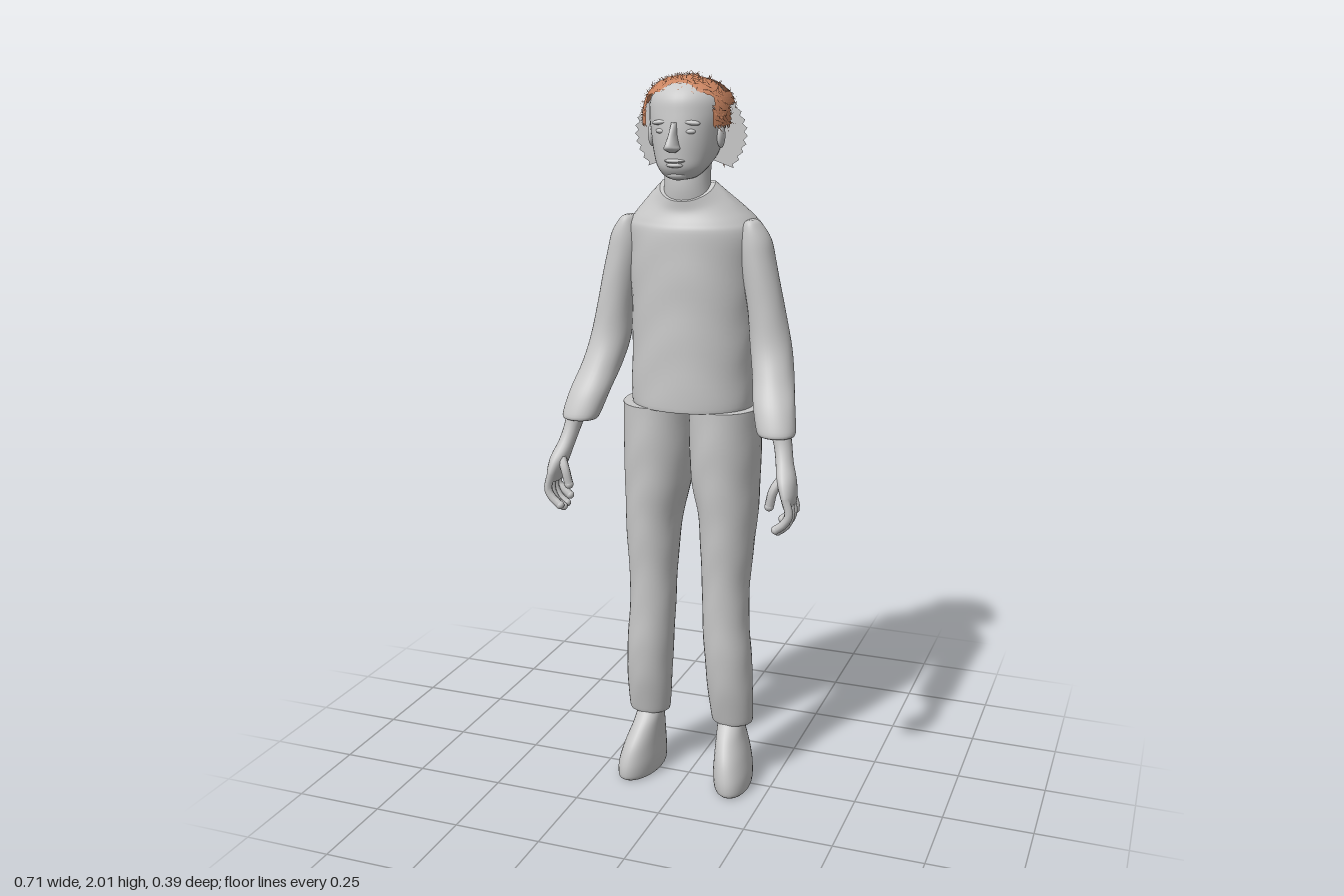
import * as THREE from 'three';

const grey = new THREE.MeshStandardMaterial({ color: 0xc8c8c8 });
grey.name = 'grey';
const greyThin = grey.clone();
greyThin.name = 'grey thin';
greyThin.side = THREE.DoubleSide;
const brown = new THREE.MeshStandardMaterial({ color: 0xc98460, side: THREE.DoubleSide });
brown.name = 'hair brown';

let seed = 7;
const rand = () => (seed = (seed * 16807) % 2147483647) / 2147483647;

function add(parent, name, geometry, material = grey) {
  const m = new THREE.Mesh(geometry, material);
  m.name = name;
  parent.add(m);
  return m;
}

// Smooth body through level elliptical rings [y, x, z, rx, rz], listed bottom to top
function loft(rows, { s = 1, n = 32, steps = 5, ripple = 0, deform = null } = {}) {
  const pos = [], idx = [];
  const mix = (a, b, c, d, t) => {
    const h = 0.5 * (2 * b + (c - a) * t + (2 * a - 5 * b + 4 * c - d) * t * t + (3 * b - a - 3 * c + d) * t * t * t);
    return h;
  };
  const at = i => rows[Math.max(0, Math.min(rows.length - 1, i))];
  const total = (rows.length - 1) * steps;
  for (let k = 0; k <= total; k++) {
    const i = Math.min(Math.floor(k / steps), rows.length - 2), t = k / steps - i;
    const [y, x, z, rx, rz] = rows[0].map((_, c) => mix(at(i - 1)[c], at(i)[c], at(i + 1)[c], at(i + 2)[c], t));
    for (let j = 0; j < n; j++) {
      const a = (j / n) * Math.PI * 2;
      const w = 1 + ripple * Math.sin(y * 34 + 2 * Math.sin(a * 3)) * Math.cos(a * 2 + y * 9);
      const p = new THREE.Vector3(s * x + rx * w * Math.cos(a), y, z + rz * w * Math.sin(a));
      if (deform) deform(p);
      pos.push(p.x, p.y, p.z);
      if (k < total) {
        const b = k * n, q = (j + 1) % n;
        idx.push(b + j, b + n + j, b + q, b + q, b + n + j, b + n + q);
      }
    }
  }
  // End caps with their own corners, so the rims stay sharp
  for (const [row, top] of [[0, false], [total, true]]) {
    const start = pos.length / 3, c = new THREE.Vector3();
    for (let j = 0; j < n; j++) {
      const o = (row * n + j) * 3;
      pos.push(pos[o], pos[o + 1], pos[o + 2]);
      c.add(new THREE.Vector3(pos[o], pos[o + 1], pos[o + 2]));
    }
    c.divideScalar(n);
    pos.push(c.x, c.y, c.z);
    for (let j = 0; j < n; j++) {
      const q = start + (j + 1) % n;
      idx.push(start + n, top ? q : start + j, top ? start + j : q);
    }
  }
  const g = new THREE.BufferGeometry();
  g.setAttribute('position', new THREE.Float32BufferAttribute(pos, 3));
  g.setIndex(idx);
  g.computeVertexNormals();
  return g;
}

function ball(parent, name, x, y, z, rx, ry, rz) {
  const m = add(parent, name, new THREE.SphereGeometry(1, 16, 12));
  m.position.set(x, y, z);
  m.scale.set(rx, ry, rz);
  return m;
}

function finger(parent, name, points, r) {
  const pts = points.map(p => new THREE.Vector3(...p));
  add(parent, name, new THREE.TubeGeometry(new THREE.CatmullRomCurve3(pts), 8, r, 8));
  const e = pts[pts.length - 1];
  ball(parent, name + 'Tip', e.x, e.y, e.z, r, r, r);
}

// One side of the body: s = 1 is the model's left
function limbs(s) {
  const g = new THREE.Group();
  g.name = s > 0 ? 'leftLimbs' : 'rightLimbs';
  add(g, 'trouserLeg', loft([
    [0.185, 0.127, -0.017, 0.055, 0.045], [0.2, 0.127, -0.017, 0.061, 0.052], [0.3, 0.123, -0.005, 0.066, 0.063],
    [0.4, 0.118, 0, 0.067, 0.069], [0.5, 0.111, -0.001, 0.066, 0.07], [0.6, 0.109, -0.003, 0.067, 0.073],
    [0.7, 0.11, -0.01, 0.073, 0.085], [0.8, 0.109, -0.02, 0.081, 0.1], [0.9, 0.1, -0.027, 0.093, 0.113],
    [1.0, 0.097, -0.03, 0.098, 0.119], [1.12, 0.096, -0.03, 0.1, 0.12]], { s, ripple: 0.012 }));
  add(g, 'foot', loft([
    [0, 0.14, 0.012, 0.048, 0.095], [0.012, 0.14, 0.012, 0.054, 0.106], [0.05, 0.139, 0.011, 0.055, 0.107],
    [0.1, 0.135, 0.004, 0.048, 0.098], [0.15, 0.128, -0.007, 0.04, 0.074],
    [0.19, 0.124, -0.015, 0.037, 0.045], [0.215, 0.124, -0.015, 0.035, 0.04]],
  { s, deform: p => { p.x += s * 0.12 * p.z * (1 - Math.min(1, p.y / 0.19)); } }));
  add(g, 'sleeve', loft([
    [1.08, 0.28, 0.102, 0.04, 0.036], [1.092, 0.279, 0.101, 0.052, 0.045], [1.15, 0.265, 0.073, 0.056, 0.051],
    [1.22, 0.247, 0.024, 0.056, 0.058], [1.3, 0.23, -0.005, 0.056, 0.056], [1.4, 0.214, -0.008, 0.05, 0.052],
    [1.52, 0.191, -0.01, 0.047, 0.051], [1.58, 0.182, -0.009, 0.041, 0.046], [1.62, 0.175, -0.006, 0.022, 0.034],
    [1.63, 0.174, -0.006, 0.008, 0.02]], { s, ripple: 0.012 }));
  const hand = new THREE.Group();
  hand.name = 'hand';
  g.add(hand);
  add(hand, 'palm', loft([
    [0.915, 0.335, 0.155, 0.014, 0.04], [0.94, 0.333, 0.154, 0.02, 0.045], [0.98, 0.323, 0.145, 0.025, 0.041],
    [1.02, 0.311, 0.124, 0.023, 0.03], [1.06, 0.301, 0.107, 0.024, 0.028], [1.1, 0.29, 0.1, 0.028, 0.028]],
  { s, n: 20, steps: 4 }));
  for (let i = 0; i < 4; i++) {
    const z = 0.122 + i * 0.022, d = [0.02, 0.004, 0, 0.01][i];
    finger(hand, 'finger', [[s * 0.333, 0.94, z], [s * 0.343, 0.895, z], [s * 0.33, 0.86 + d, z], [s * 0.308, 0.842 + d, z]], 0.0115);
  }
  finger(hand, 'thumb', [[s * 0.318, 0.99, 0.155], [s * 0.297, 0.955, 0.175], [s * 0.286, 0.91, 0.175]], 0.0125);
  return g;
}

function face() {
  const g = new THREE.Group();
  g.name = 'head';
  add(g, 'neck', loft([[1.64, 0, -0.005, 0.075, 0.06], [1.7, 0, 0.008, 0.064, 0.058],
    [1.75, 0, 0.01, 0.062, 0.056], [1.82, 0, 0, 0.066, 0.06]]));
  // Jaw sits lower at the front than at the back
  add(g, 'skull', loft([
    [1.735, 0, 0.07, 0.02, 0.018], [1.742, 0, 0.06, 0.043, 0.036], [1.765, 0, 0.045, 0.066, 0.066],
    [1.8, 0, 0.02, 0.083, 0.095], [1.85, 0, 0.008, 0.094, 0.108], [1.9, 0, 0.004, 0.101, 0.107],
    [1.94, 0, 0, 0.097, 0.103], [1.97, 0, -0.005, 0.076, 0.082], [1.986, 0, -0.01, 0.04, 0.045], [1.99, 0, -0.01, 0.008, 0.01]]));
  add(g, 'nose', loft([[1.806, 0, 0.122, 0.008, 0.012], [1.815, 0, 0.127, 0.02, 0.028], [1.826, 0, 0.127, 0.016, 0.031],
    [1.85, 0, 0.118, 0.01, 0.024], [1.88, 0, 0.106, 0.008, 0.014]], { n: 16 }));
  ball(g, 'upperLip', 0, 1.784, 0.108, 0.028, 0.006, 0.016);
  ball(g, 'lowerLip', 0, 1.773, 0.104, 0.024, 0.007, 0.017);
  ball(g, 'chin', 0, 1.748, 0.083, 0.03, 0.015, 0.02);
  for (const s of [1, -1]) {
    ball(g, 'eye', s * 0.038, 1.858, 0.1, 0.016, 0.007, 0.01);
    ball(g, 'brow', s * 0.04, 1.88, 0.097, 0.026, 0.007, 0.013).rotation.z = -s * 0.1;
    ball(g, 'ear', s * 0.095, 1.845, 0.02, 0.01, 0.032, 0.019);
    // Jagged upright sheet beside the head
    const sheet = new THREE.Shape();
    sheet.moveTo(s * 0.08, 1.93);
    for (let i = 0; i <= 16; i++) {
      const t = i / 16;
      const w = 0.112 + 0.045 * Math.sin(Math.PI * Math.min(1, 0.1 + t * 0.85)) - (i % 2) * 0.01;
      sheet.lineTo(s * w, 1.925 - 0.165 * t);
    }
    sheet.lineTo(s * 0.06, 1.78);
    add(g, 'sideSheet', new THREE.ShapeGeometry(sheet), greyThin).position.z = -0.012;
  }
  return g;
}

// Where the hair grows: front tuft, sides, back and nape, with a bare strip over the crown
function hairy(p) {
  if (p.z > -0.055 && p.z < 0.015 && (p.y > 1.955 || (p.y < 1.92 && p.z > -0.04))) {
    return Math.hypot(p.x + 0.005, p.z - 0.015) < 0.03 && p.y > 1.95;
  }
  if (p.z > 0.04 && Math.abs(p.x) < 0.092 && p.y < 1.962 - 2.5 * p.x * p.x) return false;
  return p.y > (p.z > 0 ? 1.87 : 1.835);
}

function hair() {
  const g = new THREE.Group();
  g.name = 'hair';
  const centre = new THREE.Vector3(0, 1.885, -0.004);
  // Boxy dome, fuller than an ellipsoid
  const dome = p => {
    const f = v => Math.sign(v) * Math.pow(Math.abs(v), 0.82);
    return p.set(f(p.x) * 0.121, f(p.y) * 0.11, f(p.z) * 0.103).add(centre);
  };
  const src = new THREE.SphereGeometry(1, 72, 48).toNonIndexed().attributes.position;
  const pos = [], strands = [];
  for (let i = 0; i < src.count; i += 3) {
    const t = [0, 1, 2].map(k => dome(new THREE.Vector3().fromBufferAttribute(src, i + k)));
    const mid = t[0].clone().add(t[1]).add(t[2]).divideScalar(3);
    if (!hairy(mid)) continue;
    t.forEach(v => pos.push(v.x, v.y, v.z));
    // Thin loose strands lying along the dome
    if (rand() < 0.16) {
      const out = mid.clone().sub(centre).normalize();
      const along = new THREE.Vector3(rand() - 0.5, rand() - 0.5, rand() - 0.5).cross(out).normalize();
      const side = along.clone().cross(out).multiplyScalar(0.0015);
      const root = mid.clone().addScaledVector(out, 0.001);
      const tip = root.clone().addScaledVector(along, 0.018 + 0.012 * rand()).addScaledVector(out, 0.006);
      for (const v of [root.clone().add(side), root.clone().sub(side), tip]) strands.push(v.x, v.y, v.z);
    }
  }
  for (const [name, list] of [['hairCap', pos], ['hairStrands', strands]]) {
    const geo = new THREE.BufferGeometry();
    geo.setAttribute('position', new THREE.Float32BufferAttribute(list, 3));
    geo.computeVertexNormals();
    add(g, name, geo, brown);
  }
  // Locks behind the ears
  for (const s of [1, -1]) {
    const lock = new THREE.ConeGeometry(0.022, 0.085, 8);
    const m = add(g, 'napeLock', lock, brown);
    m.scale.x = 0.45;
    m.position.set(s * 0.079, 1.798, -0.032);
    m.rotation.set(Math.PI, 0, -s * 0.2);
  }
  return g;
}

export function createModel() {
  const model = new THREE.Group();
  model.name = 'standingPerson';
  // Shirt with a collar that dips at the front
  add(model, 'shirt', loft([
    [1.12, 0, -0.029, 0.165, 0.129], [1.13, 0, -0.029, 0.172, 0.133], [1.25, 0, -0.033, 0.17, 0.134],
    [1.4, 0, -0.04, 0.173, 0.138], [1.52, 0, -0.046, 0.18, 0.141], [1.595, 0, -0.052, 0.186, 0.143],
    [1.625, 0, -0.045, 0.172, 0.128], [1.66, 0, -0.03, 0.14, 0.105], [1.695, 0, -0.01, 0.105, 0.078],
    [1.725, 0, 0.008, 0.076, 0.06]], {
    n: 48, ripple: 0.01,
    deform: p => { p.y -= Math.max(0, p.z) * 0.7 * THREE.MathUtils.smoothstep(p.y, 1.6, 1.72); },
  }));
  model.add(limbs(1), limbs(-1), face(), hair());
  return model;
}
